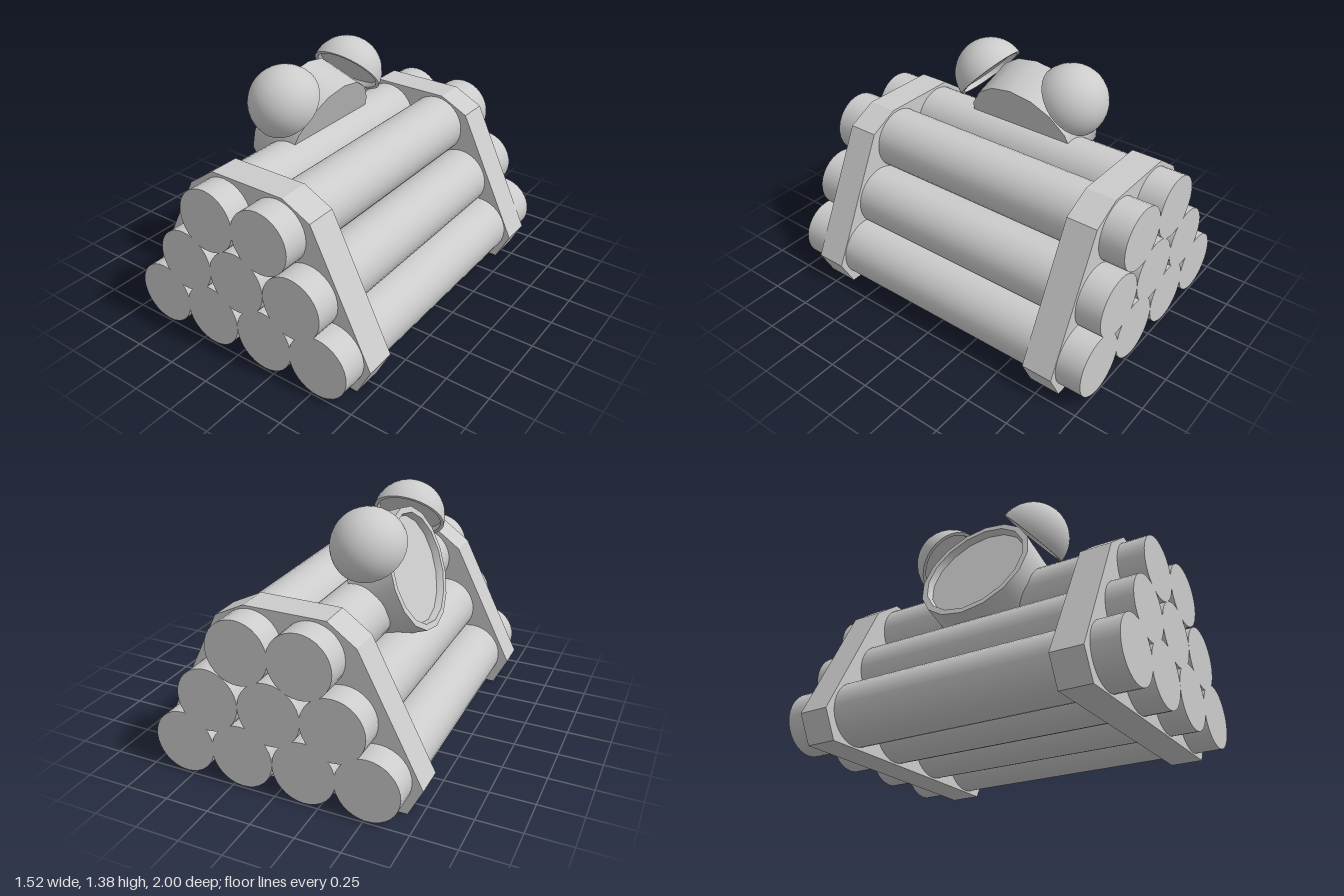
import * as THREE from 'three';
import { toCreasedNormals } from 'three/addons/utils/BufferGeometryUtils.js';

const material = new THREE.MeshStandardMaterial({ color: 0xcccccc });
const UP = new THREE.Vector3(0, 1, 0);

function addPart(parent, name, geometry, position = [0, 0, 0]) {
  const mesh = new THREE.Mesh(geometry, material);
  mesh.name = name;
  mesh.position.set(...position);
  parent.add(mesh);
  return mesh;
}

// Revolved solid with crisp rims
function turned(points, segments) {
  const profile = points.map(([r, y]) => new THREE.Vector2(r, y));
  return toCreasedNormals(new THREE.LatheGeometry(profile, segments), Math.PI / 5);
}

export function createModel() {
  const model = new THREE.Group();
  model.name = 'rodBundleWithClock';

  // Stacked rods, four-three-two
  const rods = new THREE.Group();
  rods.name = 'rods';
  model.add(rods);
  const rodGeometry = new THREE.CylinderGeometry(0.18, 0.18, 2, 32).rotateX(Math.PI / 2);
  const rows = [
    { y: 0.19, xs: [-0.52, -0.17, 0.19, 0.54] },
    { y: 0.48, xs: [-0.335, 0.02, 0.38] },
    { y: 0.79, xs: [-0.16, 0.19] },
  ];
  for (const { y, xs } of rows) {
    for (const x of xs) addPart(rods, 'rod', rodGeometry, [x, y, 0]);
  }

  // Two solid straps around the stack
  const outline = [[-0.68, 0], [0.68, 0], [0.76, 0.16], [0.395, 0.9],
    [0.225, 0.985], [-0.24, 0.985], [-0.4, 0.87], [-0.76, 0.16]];
  const strapShape = new THREE.Shape(outline.map(([x, y]) => new THREE.Vector2(x, y)));
  const strapGeometry = new THREE.ExtrudeGeometry(strapShape, { depth: 0.18, bevelEnabled: false });
  strapGeometry.translate(0, 0, -0.09);
  for (const z of [0.76, -0.76]) addPart(model, 'strap', strapGeometry, [0, 0, z]);

  // Tilted clock case with a recessed dial
  const clock = new THREE.Group();
  clock.name = 'alarmClock';
  model.add(clock);
  const caseGeometry = turned([[0, -0.266], [0.35, -0.266], [0.35, 0],
    [0.315, 0], [0.305, -0.04], [0, -0.04]], 16);
  const clockCase = addPart(clock, 'clockCase', caseGeometry, [-0.388, 0.98, 0]);
  clockCase.quaternion.setFromUnitVectors(UP, new THREE.Vector3(-0.942, 0.335, 0).normalize());

  // Half-dome bells, leaning outward, with a shallow recess below
  const R = 0.21;
  const dome = [[0, 0.03], [0.185, 0.03], [0.19, 0]];
  for (let i = 0; i <= 12; i++) {
    const a = (i / 12) * Math.PI / 2;
    dome.push([i === 12 ? 0 : R * Math.cos(a), R * Math.sin(a)]);
  }
  const bellGeometry = turned(dome, 32);
  for (const side of [1, -1]) {
    const bell = addPart(clock, 'bell', bellGeometry, [-0.21, 1.175, side * 0.283]);
    bell.quaternion.setFromUnitVectors(UP, new THREE.Vector3(0, 0.68, side * 0.735).normalize());
  }

  return model;
}
